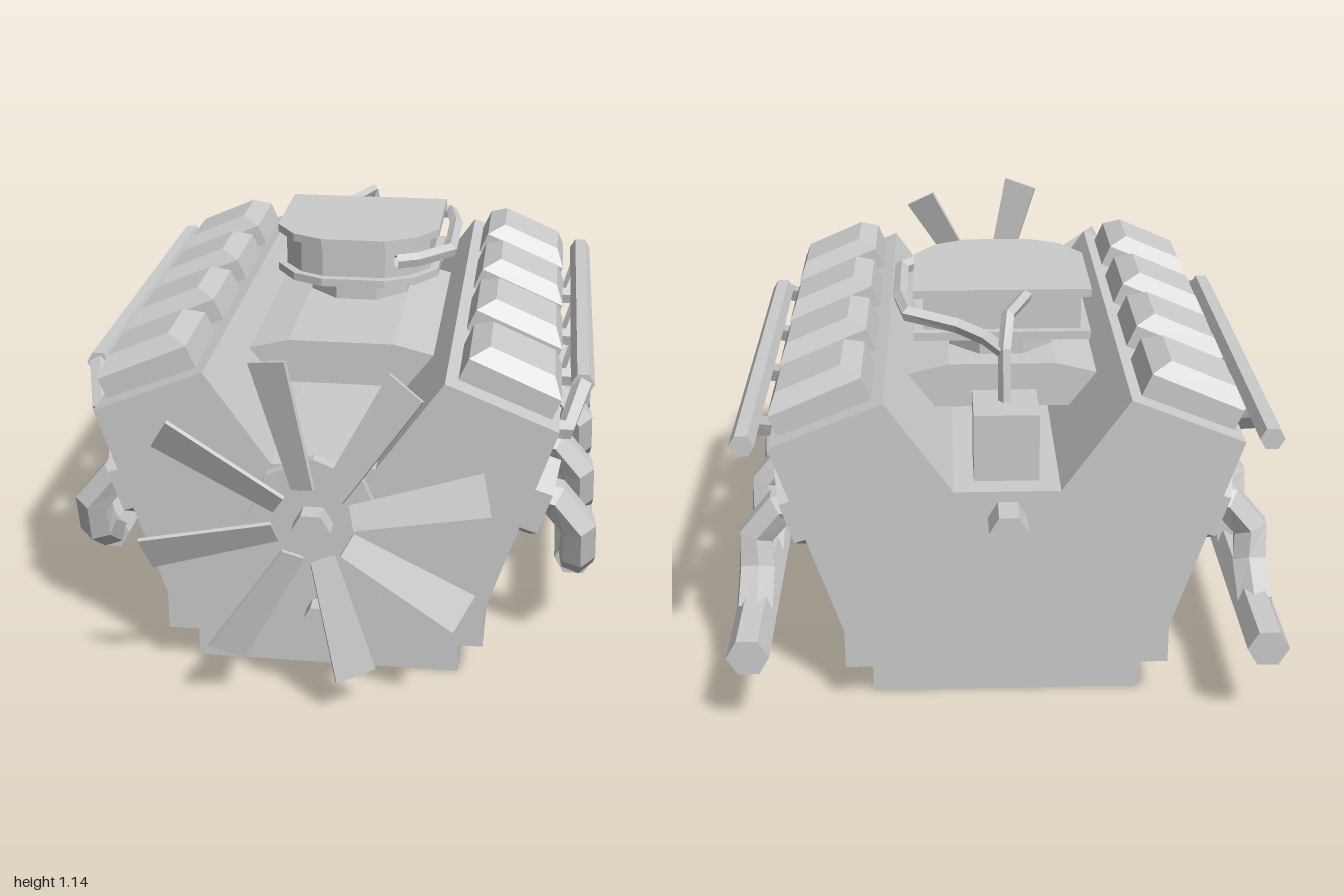
import * as THREE from 'three';

const mat = new THREE.MeshStandardMaterial({ color: 0xcccccc, flatShading: true, side: THREE.DoubleSide });

// Path that keeps its corner points, so tubes bend in mitred segments
class Polyline extends THREE.Curve {
  constructor(points) {
    super();
    this.pts = points.map((p) => new THREE.Vector3(...p));
  }
  getPointAt(u, target = new THREE.Vector3()) {
    return target.copy(this.pts[Math.round(u * (this.pts.length - 1))]);
  }
  getTangentAt(u, target = new THREE.Vector3()) {
    const p = this.pts, i = Math.round(u * (p.length - 1));
    target.set(0, 0, 0);
    if (i > 0) target.add(p[i].clone().sub(p[i - 1]).normalize());
    if (i < p.length - 1) target.add(p[i + 1].clone().sub(p[i]).normalize());
    return target.normalize();
  }
}

export function createModel() {
  const model = new THREE.Group();
  model.name = 'engine';

  const add = (name, geo, x = 0, y = 0, z = 0) => {
    const mesh = new THREE.Mesh(geo, mat);
    mesh.name = name;
    mesh.position.set(x, y, z);
    model.add(mesh);
    return mesh;
  };
  const shapeOf = (pts) => new THREE.Shape(pts.map((p) => new THREE.Vector2(...p)));
  // Front profile drawn in x, y and run from z0 to z1
  const extrude = (name, pts, z0, z1) =>
    add(name, new THREE.ExtrudeGeometry(shapeOf(pts), { depth: z1 - z0, bevelEnabled: false }), 0, 0, z0);
  // Plan outline drawn in x, z and raised from y0 to y1
  const slab = (name, pts, y0, y1) => {
    const geo = new THREE.ExtrudeGeometry(shapeOf(pts.map(([x, z]) => [x, -z])), { depth: y1 - y0, bevelEnabled: false });
    return add(name, geo.rotateX(-Math.PI / 2), 0, y0, 0);
  };
  // Round bar along z
  const bar = (name, r, sides, x, y, z0, z1) =>
    add(name, new THREE.CylinderGeometry(r, r, z1 - z0, sides).rotateX(Math.PI / 2).rotateZ(Math.PI / 2), x, y, (z0 + z1) / 2);
  const tube = (name, pts, r, sides) =>
    add(name, new THREE.TubeGeometry(new Polyline(pts), pts.length - 1, r, sides));
  const mirrored = (half) => [...half, ...half.map(([x, y]) => [-x, y]).reverse()];

  // Block with the V valley, and the oil pan below
  extrude('engineBlock', mirrored([[0.47, 0.13], [0.47, 0.25], [0.66, 0.83], [0.34, 0.96], [0.15, 0.69]]), -0.84, 0.75);
  add('oilPan', new THREE.BoxGeometry(0.79, 0.14, 1.45), 0, 0.07, -0.04);

  // Intake manifold bridging the valley
  extrude('intakeManifold', mirrored([[0.2, 0.78], [0.28, 0.885], [0.16, 0.915]]), -0.44, 0.35);
  const neck = new THREE.CylinderGeometry(0.17, 0.17, 0.11, 8).rotateY(Math.PI / 8);
  add('carburetorNeck', neck, 0, 0.95, -0.2);

  // Air cleaner: flat at the back, chamfered round at the front
  const outline = (inset) => mirrored([[0.26 - inset, -0.44 + inset], [0.26 - inset, -0.09],
    [0.195 - inset * 0.8, 0.01 - inset * 0.6], [0.1, 0.06 - inset]]);
  slab('airCleanerBase', outline(0), 0.99, 1.015);
  slab('airCleanerBody', outline(0.028), 1.01, 1.125);
  slab('airCleanerLid', outline(0), 1.12, 1.145);

  // Distributor and its hoses
  add('distributor', new THREE.BoxGeometry(0.185, 0.22, 0.19), 0, 0.78, -0.675);
  tube('distributorHose', [[0, 0.88, -0.66], [0, 1.04, -0.64], [-0.01, 1.125, -0.6], [-0.07, 1.125, -0.43]], 0.02, 5);
  tube('sideHose', [[0.14, 1.09, 0.09], [0.2, 1.09, 0.06], [0.3, 1.09, -0.05], [0.3, 1.09, -0.33],
    [0.275, 1.09, -0.48], [0.13, 1.07, -0.53], [0.05, 1.05, -0.58], [0, 1.03, -0.64]], 0.023, 5);

  // Shafts, belt drive and fan hub
  const axisY = 0.61, crankY = 0.28;
  bar('mainShaft', 0.055, 6, 0, axisY, -0.94, 1);
  bar('crankShaft', 0.038, 6, 0, crankY, 0.7, 0.9);
  const arc = (r, cy, start) => [0, 1, 2, 3, 4].map((i) => {
    const a = start + (i * Math.PI) / 4;
    return [r * Math.cos(a), cy + r * Math.sin(a)];
  });
  extrude('beltDrive', [...arc(0.13, axisY, 0), ...arc(0.18, crankY, Math.PI)], 0.79, 0.845);
  bar('fanHub', 0.19, 8, 0, axisY, 0.905, 0.94);

  // Eight pitched blades, each widening to its tip
  const blade = new THREE.BoxGeometry(0.12, 0.38, 0.012);
  const bp = blade.attributes.position;
  for (let i = 0; i < bp.count; i++) if (bp.getY(i) < 0) bp.setX(i, bp.getX(i) * 0.6);
  blade.rotateY(-0.42).translate(0, 0.3, 0);
  for (let i = 0; i < 8; i++) {
    add('fanBlade', blade, 0, axisY, 0.955).rotation.z = THREE.MathUtils.degToRad(14 + i * 45);
  }

  // Rocker cover: box with a chamfered crown
  const cover = new THREE.BoxGeometry(0.285, 0.15, 0.28, 1, 2, 1);
  const cp = cover.attributes.position;
  for (let i = 0; i < cp.count; i++) {
    if (cp.getY(i) > 0.05) {
      cp.setX(i, cp.getX(i) * 0.7);
      cp.setZ(i, cp.getZ(i) * 0.72);
    } else if (cp.getY(i) > -0.01) cp.setY(i, 0.03);
  }
  const flange = new THREE.CylinderGeometry(0.13, 0.13, 0.12, 6).rotateY(Math.PI / 2);

  // Cylinder banks
  for (const s of [1, -1]) {
    for (const z of [0.54, 0.14, -0.25, -0.635]) {
      add('rockerCover', cover, s * 0.52, 0.926, z).rotation.z = -s * 0.41;
    }
    for (const z of [0.56, 0.17, -0.235, -0.605]) {
      add('exhaustFlange', flange, s * 0.575, 0.555, z).rotation.z = -s * (Math.PI / 2 + 0.317);
      tube('exhaustPipe', [[0.57, 0.56, z], [0.66, 0.54, z], [0.735, 0.45, z], [0.735, 0.35, z - 0.03],
        [0.735, 0.27, z - 0.15]].map(([x, y, w]) => [s * x, y, w]), 0.057, 6);
    }
    bar('exhaustCollector', 0.06, 6, s * 0.73, 0.265, -1, 0.42);

    // Upper rail with its slanting feeds
    bar('sideRail', 0.035, 6, s * 0.725, 0.855, -0.875, 0.45);
    for (const z of [0.62, 0.22, -0.13, -0.54]) {
      tube('railFeed', [[0.62, 0.79, z + 0.01], [0.68, 0.775, z - 0.02], [0.725, 0.85, z - 0.18]]
        .map(([x, y, w]) => [s * x, y, w]), 0.03, 5);
    }
  }
  return model;
}
